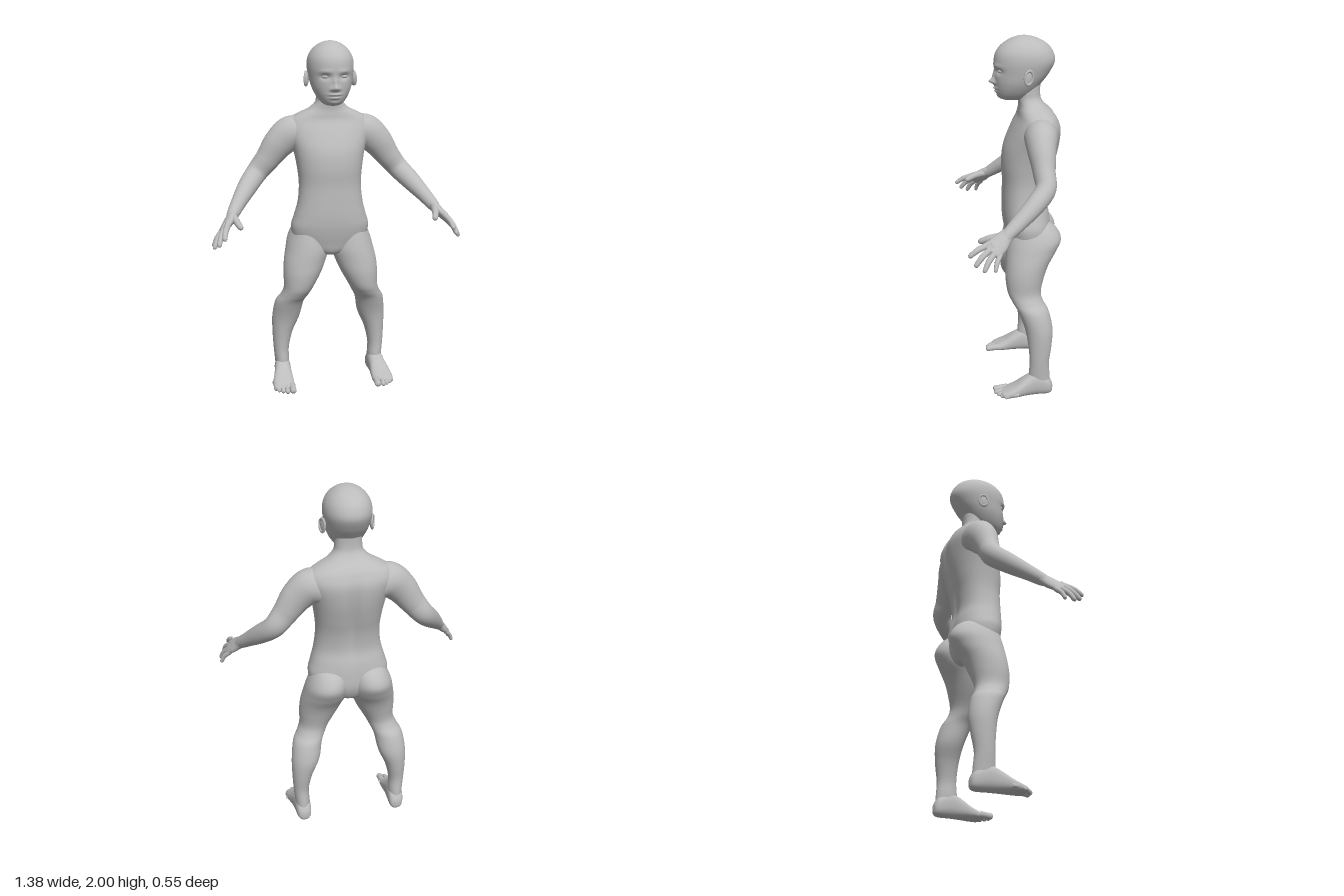
import * as THREE from 'three';

const grey = new THREE.MeshStandardMaterial({ color: 0xbcbcbc });
grey.name = 'plain grey';

// Smooth interpolation through rows of numbers, t from 0 to 1
function sample(rows, t) {
  const f = t * (rows.length - 1), i = Math.min(Math.floor(f), rows.length - 2), k = f - i;
  const at = (j) => rows[Math.max(0, Math.min(rows.length - 1, j))];
  const [a, b, c, d] = [at(i - 1), at(i), at(i + 1), at(i + 2)];
  return b.map((q, n) => q + 0.5 * k * (c[n] - a[n] + k * (2 * a[n] - 5 * q + 4 * c[n] - d[n] + k * (3 * (q - c[n]) + d[n] - a[n]))));
}

// Closed skin over rings; point(t, angle) gives each vertex
function skin(steps, sides, point) {
  const pos = [], idx = [];
  for (let i = 0; i <= steps; i++) {
    for (let j = 0; j < sides; j++) {
      pos.push(...point(i / steps, (j / sides) * Math.PI * 2));
      if (i < steps) {
        const a = i * sides + j, b = i * sides + ((j + 1) % sides);
        idx.push(a, a + sides, b, b, a + sides, b + sides);
      }
    }
  }
  const g = new THREE.BufferGeometry();
  g.setAttribute('position', new THREE.Float32BufferAttribute(pos, 3));
  g.setIndex(idx);
  g.computeVertexNormals();
  return g;
}

// Upright loft; rows are [height, centre x, half width, front, back]
function loft(rows, steps, sides, power = 2, shape = (p) => p) {
  const e = 2 / power, bend = (v) => Math.sign(v) * Math.abs(v) ** e;
  return skin(steps, sides, (t, a) => {
    const [s, cx, rx, f, b] = sample(rows, t);
    return shape([cx + Math.max(rx, 0) * bend(Math.cos(a)), s, (f + b) / 2 + ((f - b) / 2) * bend(Math.sin(a))]);
  });
}

// Limb along a path; rows are [x, y, z, radius along hint, other radius]
function limb(rows, hint, steps, sides, tip = 0) {
  const side = new THREE.Vector3(...hint);
  return skin(steps, sides, (t, a) => {
    const p = sample(rows, t), q0 = sample(rows, Math.max(0, t - 0.01)), q1 = sample(rows, Math.min(1, t + 0.01));
    const dir = new THREE.Vector3(q1[0] - q0[0], q1[1] - q0[1], q1[2] - q0[2]).normalize();
    const u = side.clone().addScaledVector(dir, -side.dot(dir)).normalize();
    const v = u.clone().cross(dir);
    const k = tip && t > 1 - tip ? Math.sqrt(Math.max(0, 1 - ((t - 1 + tip) / tip) ** 2)) : 1;
    const c = Math.cos(a) * p[3] * k, s = Math.sin(a) * p[4] * k;
    return [p[0] + u.x * c + v.x * s, p[1] + u.y * c + v.y * s, p[2] + u.z * c + v.z * s];
  });
}

function mirrored(geo) {
  const g = geo.clone().scale(-1, 1, 1), ix = g.index;
  for (let i = 0; i < ix.count; i += 3) {
    const b = ix.getX(i + 1);
    ix.setX(i + 1, ix.getX(i + 2));
    ix.setX(i + 2, b);
  }
  g.computeVertexNormals();
  return g;
}

export function createModel() {
  const model = new THREE.Group();
  model.name = 'mannequin';
  const add = (name, geo) => {
    const m = new THREE.Mesh(geo, grey);
    m.name = name;
    model.add(m);
  };
  const pair = (name, geo) => {
    add('left ' + name, geo);
    add('right ' + name, mirrored(geo));
  };
  const bump = (x, y, cx, cy, w, h) => Math.exp(-(((x - cx) / w) ** 2) - ((y - cy) / h) ** 2);

  // Torso and neck, with a shallow groove down the spine
  add('torso', loft([
    [0.78, 0, 0.02, -0.06, -0.15], [0.805, 0, 0.09, 0, -0.19], [0.87, 0, 0.2, 0.022, -0.22],
    [0.95, 0, 0.224, 0.04, -0.222], [1.02, 0, 0.207, 0.047, -0.215], [1.1, 0, 0.186, 0.047, -0.2],
    [1.2, 0, 0.177, 0.045, -0.212], [1.3, 0, 0.186, 0.05, -0.24], [1.4, 0, 0.205, 0.037, -0.264],
    [1.5, 0, 0.235, -0.005, -0.272], [1.56, 0, 0.225, -0.035, -0.252], [1.595, 0, 0.175, -0.042, -0.228],
    [1.625, 0, 0.115, -0.045, -0.195], [1.66, 0, 0.08, -0.042, -0.17], [1.7, 0, 0.073, -0.04, -0.163],
    [1.77, 0, 0.072, -0.04, -0.165],
  ], 84, 64, 2.3, ([x, y, z]) => [x, y, z < -0.12 ? z + 0.02 * bump(x, y, 0, 1.3, 0.035, 0.25) : z]));

  // Head, with nose, lips, chin and eye sockets pressed into the front
  add('head', loft([
    [1.652, 0, 0, -0.005, -0.03], [1.656, 0, 0.035, 0.04, -0.07], [1.672, 0, 0.062, 0.066, -0.1],
    [1.705, 0, 0.087, 0.078, -0.135], [1.75, 0, 0.108, 0.084, -0.172], [1.8, 0, 0.12, 0.086, -0.21],
    [1.86, 0, 0.128, 0.09, -0.24], [1.91, 0, 0.122, 0.08, -0.232], [1.95, 0, 0.1, 0.05, -0.203],
    [1.98, 0, 0.066, 0.005, -0.155], [1.995, 0, 0.032, -0.035, -0.11], [2, 0, 0, -0.07, -0.075],
  ], 110, 120, 2.1, ([x, y, z]) => {
    if (z < 0) return [x, y, z];
    const ax = Math.abs(x);
    const d = 0.03 * bump(x, y, 0, 1.755, 0.015, 0.016) + 0.012 * bump(x, y, 0, 1.785, 0.012, 0.025)
      + 0.01 * bump(ax, y, 0.02, 1.75, 0.01, 0.01)
      - 0.014 * bump(ax, y, 0.052, 1.815, 0.028, 0.016) + 0.005 * bump(ax, y, 0.05, 1.843, 0.035, 0.012)
      + 0.012 * bump(x, y, 0, 1.72, 0.03, 0.008) + 0.011 * bump(x, y, 0, 1.702, 0.026, 0.008)
      - 0.004 * bump(x, y, 0, 1.711, 0.035, 0.004) + 0.004 * bump(x, y, 0, 1.675, 0.025, 0.012);
    return [x, y, z + d];
  }));
  pair('eye', new THREE.SphereGeometry(0.02, 24, 16).scale(1, 0.55, 0.7).rotateY(0.3).translate(0.051, 1.816, 0.057));

  // Ears: shell with a raised rim
  const placeEar = (g) => g.rotateX(-0.15).rotateY(0.4).translate(0.128, 1.793, -0.082);
  pair('ear shell', placeEar(new THREE.SphereGeometry(0.03, 20, 14).scale(0.3, 1.3, 0.85)));
  pair('ear rim', placeEar(new THREE.TorusGeometry(0.026, 0.006, 8, 28).rotateY(Math.PI / 2).scale(1.1, 1.4, 0.95).translate(0.006, 0, 0)));

  // Legs from hip to ankle
  pair('leg', loft([
    [1.01, 0.11, 0.04, -0.06, -0.15], [0.96, 0.113, 0.09, 0, -0.235], [0.89, 0.123, 0.115, 0.022, -0.272],
    [0.82, 0.131, 0.125, 0.036, -0.243], [0.75, 0.15, 0.12, 0.042, -0.2], [0.68, 0.168, 0.107, 0.045, -0.172],
    [0.6, 0.19, 0.085, 0.035, -0.152], [0.55, 0.212, 0.081, 0.012, -0.162], [0.5, 0.238, 0.083, -0.018, -0.19],
    [0.4, 0.256, 0.08, -0.055, -0.211], [0.3, 0.277, 0.059, -0.073, -0.204], [0.2, 0.286, 0.045, -0.08, -0.19],
    [0.12, 0.282, 0.042, -0.076, -0.195], [0.04, 0.28, 0.038, -0.08, -0.2],
  ].reverse(), 80, 48));

  // Feet: the same loft laid along z, running toe to heel
  const foot = [
    [0.085, 0.295, 0, 0.028, 0.015], [0.078, 0.295, 0.045, 0.038, 0.008], [0.05, 0.295, 0.06, 0.05, 0.002],
    [0, 0.293, 0.06, 0.075, 0], [-0.06, 0.287, 0.051, 0.115, 0], [-0.12, 0.282, 0.047, 0.14, 0],
    [-0.18, 0.279, 0.042, 0.11, 0], [-0.205, 0.278, 0.028, 0.075, 0.01], [-0.213, 0.278, 0, 0.045, 0.03],
  ];
  pair('foot', loft(foot, 48, 40, 2.4, ([x, s, d]) => [x, Math.max(d, 0), s]));
  [[0.251, 0.125, 0.021], [0.283, 0.122, 0.015], [0.307, 0.108, 0.014], [0.328, 0.09, 0.013], [0.345, 0.068, 0.013]]
    .forEach(([x, z, r], i) => pair('toe ' + (i + 1), limb([
      [x, 0.03, z - 0.08, r, r], [x, 0.027, z - 0.035, r * 0.85, r * 0.85], [x, r, z, r, r * 0.95],
    ], [1, 0, 0], 16, 16, 0.3)));

  // Arms from shoulder to wrist
  pair('arm', limb([
    [0.13, 1.465, -0.15, 0.085, 0.085], [0.205, 1.485, -0.142, 0.09, 0.098], [0.28, 1.43, -0.137, 0.076, 0.088],
    [0.35, 1.338, -0.14, 0.06, 0.07], [0.41, 1.265, -0.14, 0.055, 0.061], [0.47, 1.2, -0.077, 0.052, 0.055],
    [0.53, 1.13, 0.01, 0.042, 0.042], [0.567, 1.083, 0.07, 0.034, 0.034], [0.58, 1.068, 0.09, 0.034, 0.028],
  ], [0, 0, 1], 70, 40));

  // Hands: flattened palm, four fingers and a thumb
  const across = [0.05, -0.065, -0.13];
  pair('palm', limb([
    [0.56, 1.092, 0.058, 0.032, 0.03], [0.578, 1.07, 0.09, 0.04, 0.027], [0.602, 1.043, 0.123, 0.05, 0.024],
    [0.625, 1.02, 0.155, 0.051, 0.019], [0.634, 1.01, 0.168, 0.046, 0.015],
  ], across, 28, 28, 0.15));
  [
    ['index finger', [0.606, 1.045, 0.178], [0.63, 0.99, 0.278]],
    ['middle finger', [0.622, 1.028, 0.166], [0.66, 0.947, 0.248]],
    ['ring finger', [0.634, 1.01, 0.147], [0.683, 0.925, 0.205]],
    ['little finger', [0.638, 0.998, 0.12], [0.685, 0.925, 0.148]],
    ['thumb', [0.568, 1.075, 0.09], [0.535, 1.035, 0.222]],
  ].forEach(([name, a, b], i) => {
    const r = [0.017, 0.017, 0.016, 0.014, 0.021][i];
    const mid = a.map((v, n) => (v + b[n]) / 2 + [0.004, 0.006, 0.004][n]);
    const root = a.map((v, n) => v - (b[n] - v) * 0.2);
    pair(name, limb([[...root, r, r], [...a, r, r], [...mid, r * 0.9, r * 0.9], [...b, r * 0.7, r * 0.7]], across, 24, 14, 0.12));
  });
  return model;
}
